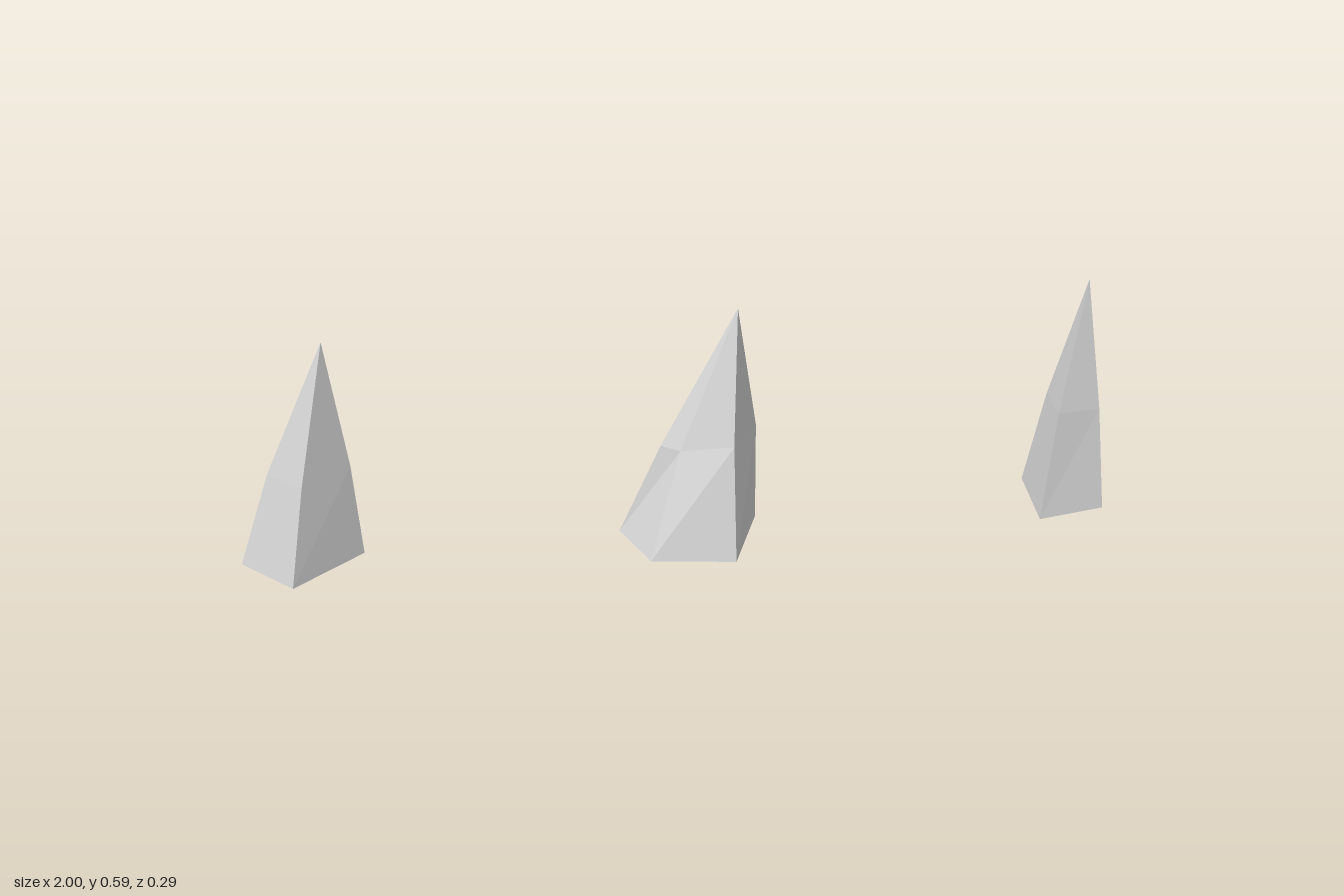
import * as THREE from 'three';

const rock = new THREE.MeshStandardMaterial({ color: 0xd4d4d4, flatShading: true });
rock.name = 'light grey rock';

// Each spike: ground corners [x, z], bent waist corners [x, y, z], and a tip.
// Corners run counter-clockwise seen from above.
const spikes = [
  {
    name: 'rightSpike',
    base: [[-1, 0], [-0.888, 0.108], [-0.72, -0.005], [-0.845, -0.118]],
    waist: [[-0.925, 0.245, 0], [-0.85, 0.25, 0.07], [-0.738, 0.25, 0], [-0.82, 0.25, -0.08]],
    tip: [-0.783, 0.592, 0.007],
  },
  {
    name: 'middleSpike',
    base: [[-0.13, -0.008], [-0.073, 0.118], [0.12, 0.147], [0.19, -0.022], [0, -0.147]],
    waist: [[-0.037, 0.25, 0.018], [0.005, 0.25, 0.045], [0.122, 0.275, 0.083], [0.187, 0.265, -0.015], [0.05, 0.21, -0.088]],
    tip: [0.14, 0.592, -0.003],
  },
  {
    name: 'leftSpike',
    base: [[0.845, 0.083], [1, 0.058], [0.995, -0.082], [0.84, -0.082]],
    waist: [[0.878, 0.275, 0.053], [0.979, 0.265, 0.032], [0.977, 0.265, -0.054], [0.876, 0.26, -0.054]],
    tip: [0.942, 0.592, -0.013],
  },
];

function spikeGeometry({ base, waist, tip }) {
  const foot = base.map(([x, z]) => [x, 0, z]);
  const n = foot.length;
  const points = [];
  const tri = (a, b, c) => points.push(...a, ...b, ...c);
  for (let i = 0; i < n; i++) {
    const j = (i + 1) % n;
    // lower wall, then upper wall meeting at the tip
    tri(foot[i], foot[j], waist[j]);
    tri(foot[i], waist[j], waist[i]);
    tri(waist[i], waist[j], tip);
    // underside fan
    if (i > 0 && i < n - 1) tri(foot[0], foot[j], foot[i]);
  }
  const geometry = new THREE.BufferGeometry();
  geometry.setAttribute('position', new THREE.Float32BufferAttribute(points, 3));
  geometry.computeVertexNormals();
  return geometry;
}

export function createModel() {
  const group = new THREE.Group();
  group.name = 'rockSpikes';
  for (const spike of spikes) {
    const mesh = new THREE.Mesh(spikeGeometry(spike), rock);
    mesh.name = spike.name;
    group.add(mesh);
  }
  return group;
}
